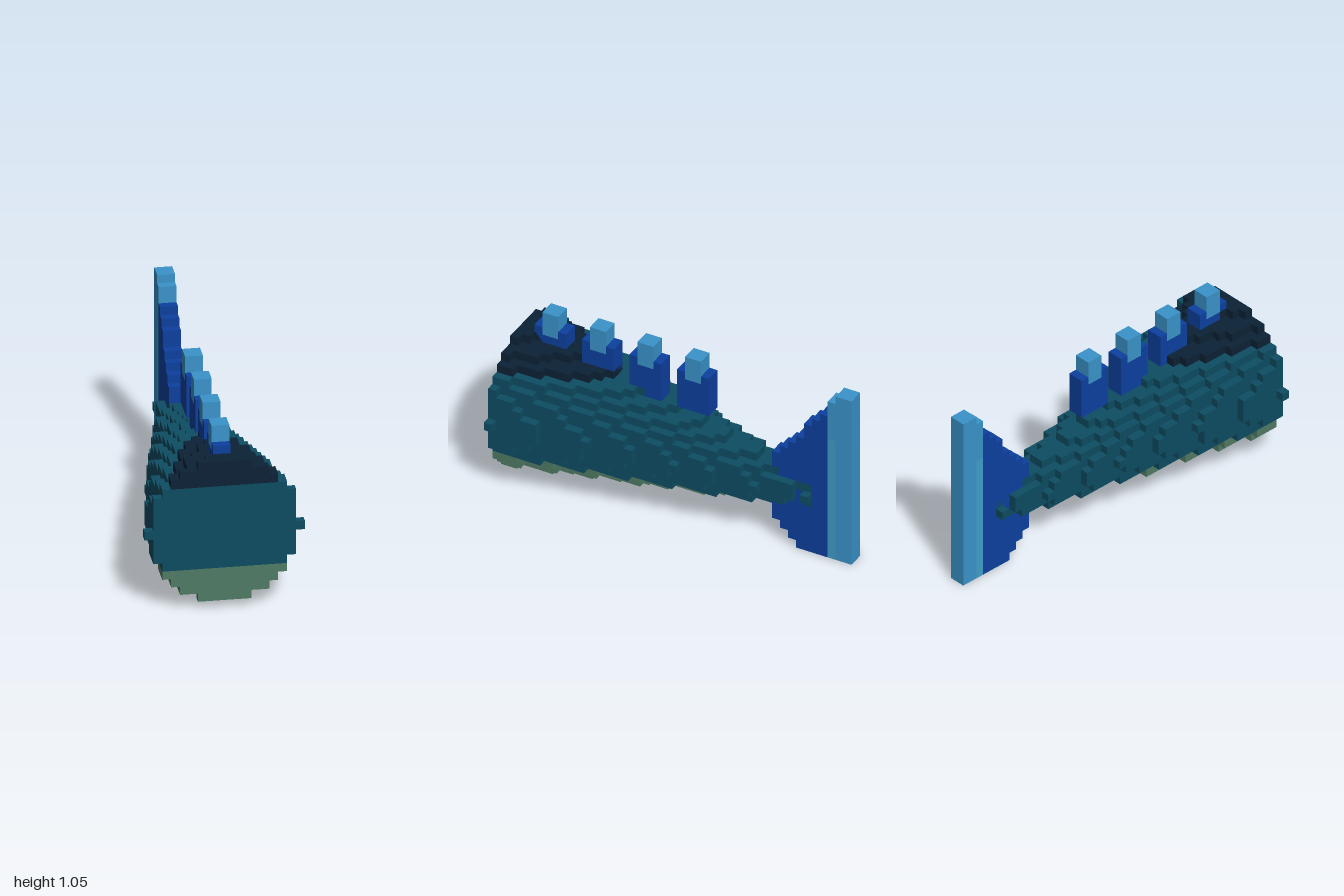
import * as THREE from 'three';
import { mergeGeometries } from 'three/addons/utils/BufferGeometryUtils.js';

const U = 1 / 21; // size of one block

const mat = (name, color) => {
  const m = new THREE.MeshStandardMaterial({ color });
  m.name = name;
  return m;
};

// Box symmetric in x, given half width, rows y0..y1 and slices k0..k1 (ends exclusive), in blocks
function blockBox(half, y0, y1, k0, k1) {
  const g = new THREE.BoxGeometry(2 * half * U, (y1 - y0) * U, (k1 - k0) * U);
  g.translate(0, ((y0 + y1) / 2) * U, -1 + ((k0 + k1) / 2) * U);
  return g;
}

function part(name, geometries, material) {
  const mesh = new THREE.Mesh(mergeGeometries(geometries), material);
  mesh.name = name;
  return mesh;
}

// Centre line of the tapering body: [slice, row]
const CENTRE = [[5, 7], [10, 7.1], [16, 7.52], [22, 8.15], [30, 8.55], [34, 8.76], [37, 8.78], [41, 9.001]];
function centreRow(k) {
  const i = Math.max(1, CENTRE.findIndex((p) => p[0] >= k));
  const [a, b] = [CENTRE[i - 1], CENTRE[i]];
  return a[1] + ((b[1] - a[1]) * (k - a[0])) / (b[0] - a[0]);
}

function radius(k) {
  const u = 41 - k;
  return Math.max(k < 7 ? 1.5 : 1.81, 8.5001 - 0.17 * u - 0.0009 * u * u);
}

// Half width in blocks of the round section at a slice and row
function halfWidth(k, row) {
  const s = radius(k) ** 2 - (row - centreRow(k)) ** 2;
  return s < 0.25 ? 0 : Math.floor(Math.sqrt(s) + 0.5 + 1e-6);
}

// Body rows, joined into runs of equal width
function bodyRows(from, to) {
  const list = [];
  for (let row = from; row <= to; row++) {
    let start = 5;
    for (let k = 6; k <= 42; k++) {
      const w = halfWidth(start, row);
      if (k === 42 || halfWidth(k, row) !== w) {
        if (w > 0) list.push(blockBox(w, row, row + 1, start, k));
        start = k;
      }
    }
  }
  return list;
}

export function createModel() {
  const teal = mat('teal', 0x0d4d63);
  const navy = mat('navy', 0x0c2236);
  const green = mat('sage green', 0x4f7b64);
  const blue = mat('deep blue', 0x0d40a0);
  const light = mat('light blue', 0x3a94cb);
  const aqua = mat('aqua blue', 0x409fc9);

  const model = new THREE.Group();
  model.name = 'model';

  // Tapering body in three colour bands
  model.add(part('belly', bodyRows(1, 4), green));
  model.add(part('flanks', bodyRows(5, 14), teal));
  model.add(part('back', bodyRows(15, 17), navy));

  // Row of back fins with light tips
  [18, 24, 30, 36].forEach((k) => {
    const fin = new THREE.Group();
    fin.name = 'backFin';
    fin.add(part('finBase', [
      blockBox(1, 14, 18, k, k + 4),
      blockBox(1, 18, 19, k, k + 1),
      blockBox(1, 18, 19, k + 3, k + 4),
    ], blue));
    fin.add(part('finTip', [blockBox(1, 18, 21, k + 1, k + 3)], light));
    model.add(fin);
  });

  // Stepped tail fin: [slice, bottom row, top row]
  const steps = [[3, 0, 19], [4, 0, 18], [5, 0, 17], [6, 0, 15], [7, 1, 14], [8, 2, 13], [9, 3, 12]];
  model.add(part('tailFin', steps.map(([k, a, b]) => blockBox(1, a, b, k, k + 1)), blue));
  model.add(part('tailEdgeStrip', [blockBox(1, 0, 16, 2, 3)], aqua));
  model.add(part('tailEdge', [blockBox(1, 16, 21, 2, 3), blockBox(1, 0, 22, 0, 2)], light));

  return model;
}
